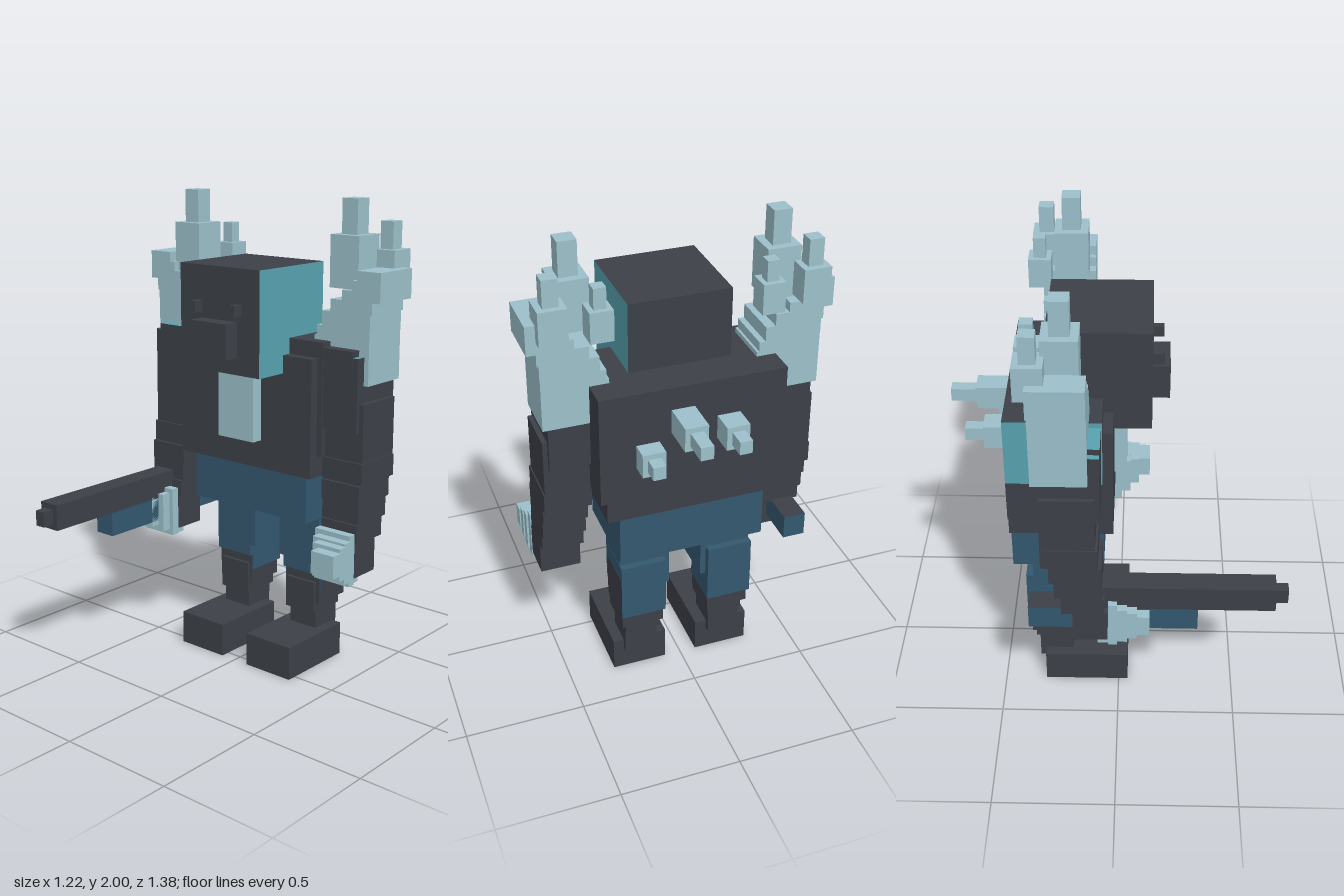
import * as THREE from 'three';

const mat = (name, color) => {
  const m = new THREE.MeshStandardMaterial({ color });
  m.name = name;
  return m;
};

export function createModel() {
  const dark = mat('charcoal', 0x3c4047);
  const pale = mat('paleIce', 0x9cc0ca);
  const blue = mat('denimBlue', 0x34586f);
  const teal = mat('teal', 0x58a2b0);
  const model = new THREE.Group();
  model.name = 'armoredFigure';

  // Box from [min, max] ranges; faces overrides materials in order +x -x +y -y +z -z
  function box(parent, name, x, y, z, material, faces) {
    const geo = new THREE.BoxGeometry(x[1] - x[0], y[1] - y[0], z[1] - z[0]);
    const mats = faces ? [0, 1, 2, 3, 4, 5].map(i => faces[i] || material) : material;
    const mesh = new THREE.Mesh(geo, mats);
    mesh.position.set((x[0] + x[1]) / 2, (y[0] + y[1]) / 2, (z[0] + z[1]) / 2);
    mesh.name = name;
    parent.add(mesh);
  }
  function part(name) {
    const g = new THREE.Group();
    g.name = name;
    model.add(g);
    return g;
  }

  // Head with muzzle and small eyes
  const head = part('head');
  box(head, 'skull', [-0.21, 0.21], [1.30, 1.73], [-0.28, 0.13], dark, { 0: teal });
  box(head, 'muzzle', [-0.095, 0.095], [1.37, 1.515], [0.13, 0.20], dark);

  // Torso and hips
  const torso = part('torso');
  box(torso, 'upperBack', [-0.38, 0.38], [1.15, 1.44], [-0.44, -0.06], dark, { 1: teal });
  box(torso, 'middleBack', [-0.38, 0.38], [0.97, 1.15], [-0.44, -0.06], dark);
  box(torso, 'lowerBack', [-0.355, 0.355], [0.88, 0.97], [-0.44, -0.06], dark);
  box(torso, 'chest', [-0.355, 0.355], [0.88, 1.375], [-0.06, -0.02], dark);
  box(torso, 'chestPlate', [-0.095, 0.095], [1.0, 1.31], [-0.02, 0.03], pale);
  box(torso, 'hips', [-0.305, 0.305], [0.67, 0.88], [-0.438, -0.06], blue);

  // Crystal spikes on the back: centre x, centre y, base end, tip end
  for (const [x, y, base, tip] of [
    [-0.142, 1.232, -0.54, -0.615],
    [0.046, 1.295, -0.585, -0.69],
    [0.188, 1.165, -0.515, -0.575],
  ]) {
    box(torso, 'backSpikeBase', [x - 0.047, x + 0.047], [y - 0.05, y + 0.05], [base, -0.44], pale);
    box(torso, 'backSpikeTip', [x - 0.026, x + 0.026], [y - 0.028, y + 0.028], [tip, base], pale);
  }

  for (const s of [1, -1]) {
    const side = s > 0 ? 'left' : 'right';
    const m = (a, b) => (s > 0 ? [a, b] : [-b, -a]);
    const stack = (parent, name, rows, material) => {
      for (const [x0, x1, y0, y1, z0, z1] of rows)
        box(parent, name, m(x0, x1), [y0, y1], [z0, z1], material);
    };

    box(head, side + 'Eye', m(0.09, 0.118), [1.54, 1.587], [0.13, 0.175], dark);

    // Leg: trousers, stepped shin and foot
    const leg = part(side + 'Leg');
    stack(leg, 'thigh', [
      [0.07, 0.285, 0.45, 0.67, -0.36, -0.18],
      [0.095, 0.284, 0.40, 0.45, -0.36, -0.18],
      [0.094, 0.286, 0.53, 0.59, -0.39, -0.20],
    ], blue);
    box(leg, 'trouserCuff', m(0.094, 0.287), [0.33, 0.53], [-0.39, -0.20], blue,
      s > 0 ? { 0: dark } : null);
    stack(leg, 'shin', [
      [0.10, 0.28, 0.265, 0.398, -0.375, -0.195],
      [0.11, 0.262, 0.22, 0.36, -0.36, -0.18],
      [0.12, 0.26, 0.10, 0.24, -0.345, -0.20],
    ], dark);
    box(leg, 'foot', m(0.07, 0.305), [0, 0.145], [-0.32, 0.04], dark);

    // Arm: shoulder, then steps running forward to the hand
    const arm = part(side + 'Arm');
    box(arm, 'upperArm', m(0.28, 0.545), [1.09, 1.395], [-0.32, -0.066], dark, { 2: teal });
    box(arm, 'shoulderCap', m(0.281, 0.52), [1.30, 1.42], [-0.315, -0.064], dark,
      s < 0 ? { 2: teal } : null);
    stack(arm, 'forearm', [
      [0.37, 0.565, 0.97, 1.21, -0.30, -0.085],
      [0.375, 0.57, 0.88, 0.97, -0.30, -0.075],
      [0.385, 0.57, 0.80, 0.88, -0.27, -0.06],
      [0.39, 0.57, 0.72, 0.80, -0.25, -0.06],
      [0.395, 0.57, 0.64, 0.72, -0.225, -0.05],
      [0.40, 0.57, 0.50, 0.64, -0.18, -0.04],
    ], dark);

    // Crystal claw in front of the hand
    stack(arm, 'claw', [
      [0.41, 0.56, 0.475, 0.51, -0.08, -0.035],
      [0.40, 0.572, 0.475, 0.69, -0.036, 0],
      [0.42, 0.58, 0.50, 0.67, 0, 0.04],
      [0.45, 0.585, 0.525, 0.66, 0.04, 0.08],
      [0.48, 0.59, 0.55, 0.645, 0.08, 0.13],
    ], pale);

    // Crystal growth leaning outwards above the shoulder
    const crystal = part(side + 'ShoulderCrystal');
    stack(crystal, 'crystalSlab', [
      [0.30, 0.566, 1.28, 1.46, -0.325, -0.11],
      [0.31, 0.566, 1.46, 1.50, -0.325, -0.11],
      [0.335, 0.567, 1.50, 1.56, -0.325, -0.11],
      [0.375, 0.575, 1.56, 1.61, -0.325, -0.11],
      [0.43, 0.612, 1.61, 1.65, -0.325, -0.11],
      [0.475, 0.612, 1.65, 1.69, -0.325, -0.11],
      [0.50, 0.612, 1.69, 1.73, -0.325, -0.11],
    ], pale);

    // Floating shards: centre x, centre z, half width, bottom, shoulder, top
    for (const [x, z, h, y0, y1, y2] of [
      [0.42, -0.205, 0.069, 1.65, 1.86, 2.0],
      [0.517, -0.314, 0.056, 1.66, 1.80, 1.91],
      [0.338, -0.332, 0.046, 1.645, 1.77, 1.855],
    ]) {
      const t = h * 0.54;
      box(crystal, 'shardBase', m(x - h, x + h), [y0, y1], [z - h, z + h], pale);
      box(crystal, 'shardTip', m(x - t, x + t), [y1, y2], [z - t, z + t], pale);
    }
  }

  // Long weapon held in the right hand
  const weapon = part('weapon');
  box(weapon, 'barrel', [-0.545, -0.45], [0.65, 0.76], [-0.06, 0.635], dark);
  box(weapon, 'muzzleTip', [-0.521, -0.474], [0.672, 0.737], [0.635, 0.685], dark);
  box(weapon, 'lowerGrip', [-0.545, -0.45], [0.545, 0.65], [-0.36, 0.325], blue, { 2: dark });

  return model;
}
